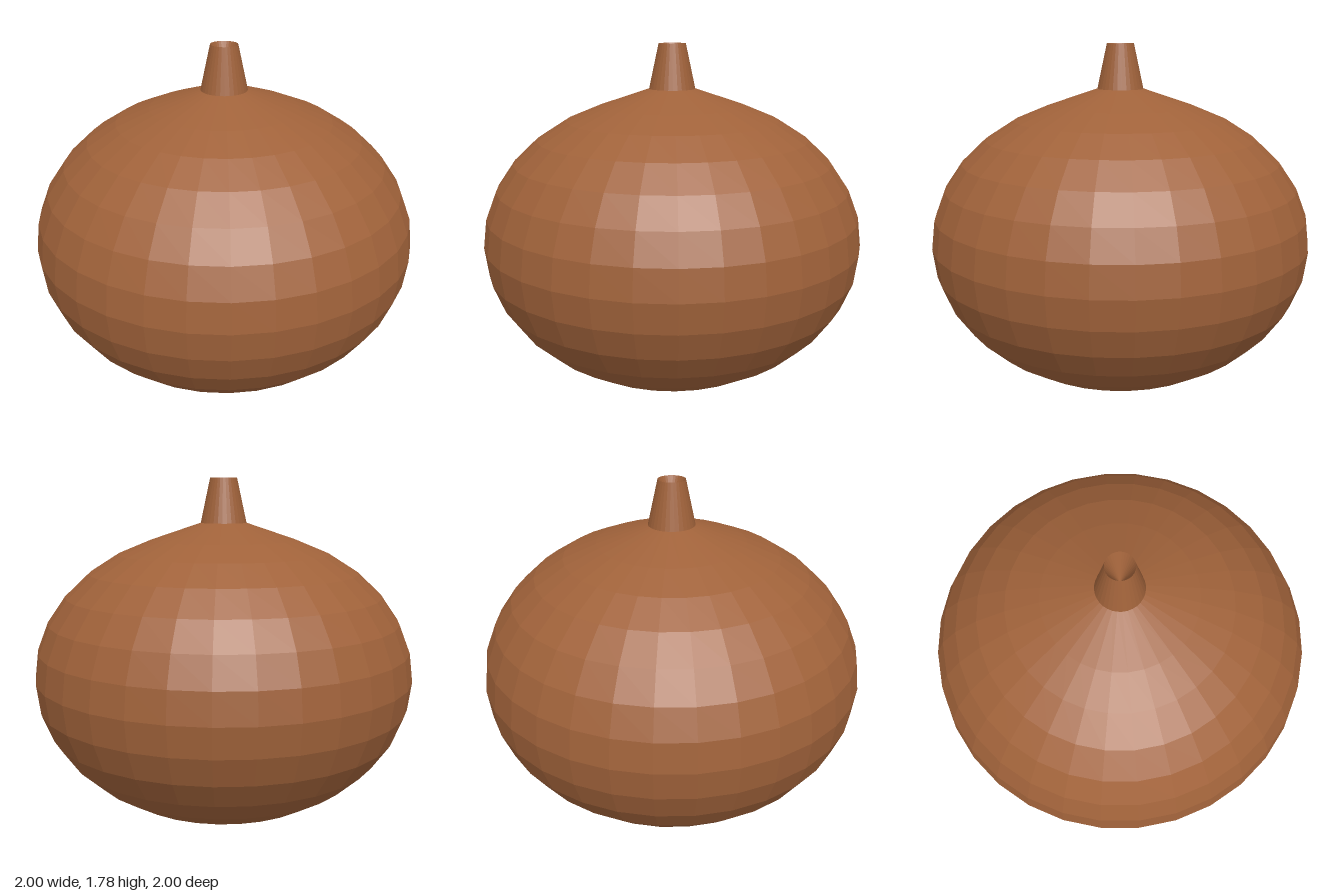
import * as THREE from 'three';

const SIDES = 32;
const MID = 0.75; // height of the widest ring
const SQUASH = 0.77; // vertical flattening of the body

export function createModel() {
  const group = new THREE.Group();
  group.name = 'roundVessel';
  const clay = new THREE.MeshStandardMaterial({
    color: 0xa0623a, flatShading: true, side: THREE.DoubleSide,
  });

  // Revolve a list of [radius, height] pairs, bottom to top
  const addLathe = (name, profile) => {
    const points = profile.map(([r, y]) => new THREE.Vector2(r, y));
    const mesh = new THREE.Mesh(new THREE.LatheGeometry(points, SIDES), clay);
    mesh.name = name;
    group.add(mesh);
  };

  // Body: flattened sphere rings with a small flat foot and a drawn-up shoulder
  const rings = [];
  for (let i = -6; i <= 6; i++) {
    const a = (i * Math.PI) / 16;
    rings.push([Math.cos(a), MID + SQUASH * Math.sin(a)]);
  }
  addLathe('body', [[0.11, 0], ...rings, [0.12, 1.55]]);

  // Shallow dimple under the foot
  addLathe('footDimple', [[0, 0.04], [0.11, 0]]);

  // Tapered neck, with a conical hollow running down from its lip
  addLathe('neck', [[0.12, 1.55], [0.07, 1.78]]);
  addLathe('neckHollow', [[0.07, 1.78], [0, 1.6]]);

  return group;
}
